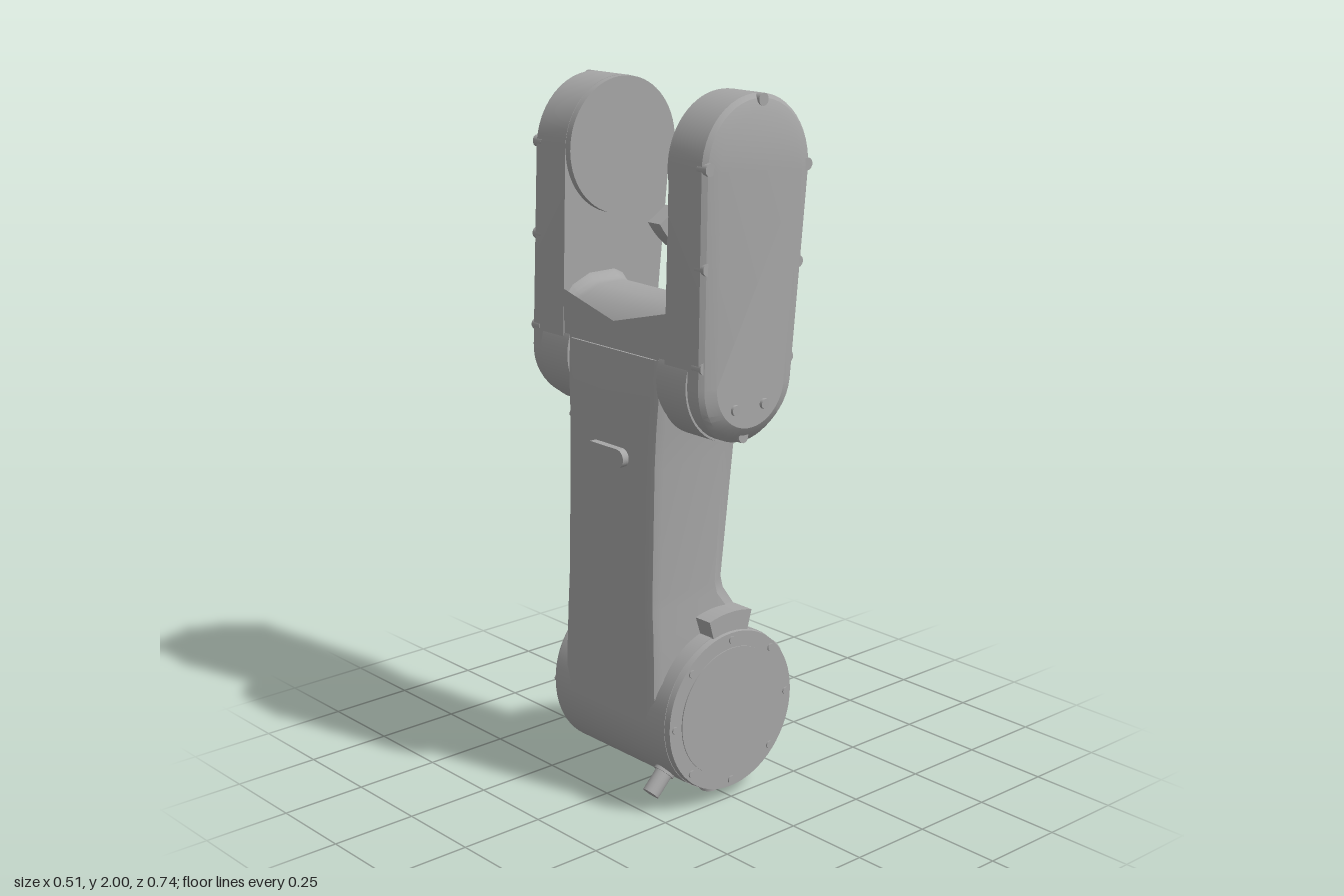
import * as THREE from 'three';
import { toCreasedNormals } from 'three/addons/utils/BufferGeometryUtils.js';

const V = (x, y, z) => new THREE.Vector3(x, y, z);

// Closed solid through rings of equal point count; faces always end up outward.
function loft(rings, crease = 0.5) {
  const tris = [];
  const n = rings[0].length;
  for (let i = 0; i < rings.length - 1; i++) {
    for (let j = 0; j < n; j++) {
      const k = (j + 1) % n;
      const [a, b, c, d] = [rings[i][j], rings[i][k], rings[i + 1][k], rings[i + 1][j]];
      tris.push([a, b, c], [a, c, d]);
    }
  }
  const last = rings[rings.length - 1];
  for (let j = 1; j < n - 1; j++) {
    tris.push([rings[0][0], rings[0][j + 1], rings[0][j]], [last[0], last[j], last[j + 1]]);
  }
  const o = rings[0][0];
  let volume = 0;
  for (const [a, b, c] of tris) {
    volume += a.clone().sub(o).dot(b.clone().sub(o).cross(c.clone().sub(o)));
  }
  const pts = tris.flatMap(([a, b, c]) => (volume < 0 ? [a, c, b] : [a, b, c]));
  return toCreasedNormals(new THREE.BufferGeometry().setFromPoints(pts), crease);
}

// Outline of two joined circles of different size, shrunk by an inset.
const TOP = { x: -0.01, y: 1.808, r: 0.19 };
const LOW = { x: -0.05, y: 1.247, r: 0.167 };
function capsuleRing(inset, z) {
  const ring = [];
  const axis = Math.atan2(TOP.y - LOW.y, TOP.x - LOW.x);
  const tilt = Math.asin((TOP.r - LOW.r) / Math.hypot(TOP.x - LOW.x, TOP.y - LOW.y));
  const arc = (c, from, to) => {
    for (let i = 0; i <= 24; i++) {
      const a = from + ((to - from) * i) / 24;
      const y = c.y + (c.r - inset) * Math.sin(a);
      ring.push(V(c.x + (c.r - inset) * Math.cos(a), y, z(y)));
    }
  };
  const h = Math.PI / 2 + tilt;
  arc(TOP, axis - h, axis + h);
  arc(LOW, axis + h, axis - h + 2 * Math.PI);
  return ring;
}

export function createModel() {
  const model = new THREE.Group();
  const grey = new THREE.MeshStandardMaterial({ color: 0xa6a6a6 });
  grey.name = 'grey';

  const add = (name, geometry, parent = model) => {
    const mesh = new THREE.Mesh(geometry, grey);
    mesh.name = name;
    parent.add(mesh);
    return mesh;
  };
  // Cylinder between two points
  const rod = (name, a, b, r, r2 = r, sides = 20, parent = model) => {
    const d = b.clone().sub(a);
    const mesh = add(name, new THREE.CylinderGeometry(r2, r, d.length(), sides), parent);
    mesh.position.copy(a).add(b).multiplyScalar(0.5);
    mesh.quaternion.setFromUnitVectors(V(0, 1, 0), d.normalize());
    return mesh;
  };
  // Arc-shaped block around a point, extruded along z
  const sector = (name, cx, cy, r1, r2, deg1, deg2, z1, z2) => {
    const a = THREE.MathUtils.degToRad(deg1), b = THREE.MathUtils.degToRad(deg2);
    const s = new THREE.Shape();
    s.absarc(cx, cy, r2, a, b, false);
    s.absarc(cx, cy, r1, b, a, true);
    const g = new THREE.ExtrudeGeometry(s, { depth: z2 - z1, bevelEnabled: false, curveSegments: 12 });
    return add(name, g.translate(0, 0, z1));
  };

  // Joint drum at the base
  const cx = -0.01, cy = 0.273, R = 0.235;
  rod('jointDrum', V(cx, cy, -0.232), V(cx, cy, 0.24), R, R, 64);
  for (const [s, z, r] of [[1, 0.24, 0.235], [-1, -0.232, 0.225]]) {
    const cover = new THREE.Group();
    cover.name = s > 0 ? 'frontDrumCover' : 'backDrumCover';
    model.add(cover);
    rod('coverRim', V(cx, cy, z - s * 0.01), V(cx, cy, z + s * 0.018), r, r - 0.004, 64, cover);
    rod('coverLid', V(cx, cy, z), V(cx, cy, z + s * 0.021), 0.187, 0.187, 64, cover);
    for (let i = 0; i < 8; i++) {
      const a = (i * Math.PI) / 4;
      const x = cx + Math.cos(a) * 0.211, y = cy + Math.sin(a) * 0.211;
      rod('coverBolt', V(x, y, z), V(x, y, z + s * 0.022), 0.011, 0.011, 12, cover);
    }
  }

  // Stop block and plugs around the drum
  sector('stopBlock', cx + 0.005, cy, 0.22, 0.288, 74, 106, 0.175, 0.248);
  for (const [deg, reach, r] of [[20, 0.272, 0.029], [225, 0.31, 0.025], [270, 0.27, 0.026]]) {
    const a = THREE.MathUtils.degToRad(deg);
    const at = (d) => V(cx + Math.cos(a) * d, cy + Math.sin(a) * d, 0.165);
    rod('plug', at(0.2), at(reach), r);
    rod('plugCollar', at(0.2), at(0.242), r + 0.006);
  }
  const rib = add('drumRib', new THREE.BoxGeometry(0.02, 0.012, 0.14));
  rib.position.set(cx + 0.228, cy + 0.062, 0.095);
  rib.rotation.z = 0.27;

  // Arm column: bevelled sections [y, left x, right x, half depth, right bevel]
  const sections = [
    [0.27, -0.245, 0.2, 0.2, 0.04], [0.39, -0.243, 0.195, 0.198, 0.045],
    [0.52, -0.241, 0.112, 0.193, 0.055], [0.6, -0.24, 0.058, 0.188, 0.06],
    [0.635, -0.239, 0.05, 0.187, 0.06], [1.0, -0.23, 0.094, 0.187, 0.075],
    [1.1, -0.227, 0.106, 0.19, 0.075], [1.24, -0.222, 0.119, 0.2, 0.05],
    [1.3, -0.218, 0.08, 0.2, 0.04],
  ];
  add('armColumn', loft(sections.map(([y, l, r, d, b]) => [
    [l, -d + 0.035], [l + 0.008, -d + 0.01], [l + 0.03, -d], [r - b, -d], [r - 0.012, -d + 0.028],
    [r, -d + 0.055], [r, d - 0.055], [r - 0.012, d - 0.028], [r - b, d], [l + 0.03, d],
    [l + 0.008, d - 0.01], [l, d - 0.035],
  ].map(([x, z]) => V(x, y, z))), 0.45));

  // Saddle between the fork arms: filleted trough that falls away to both sides
  const half = [[0, 1.436], [0.165, 1.438]];
  for (let i = 1; i <= 6; i++) {
    const a = (i / 6) * (Math.PI / 2);
    half.push([0.165 + 0.055 * Math.sin(a), 1.493 - 0.055 * Math.cos(a)]);
  }
  const drops = [[-0.212, 0.06], [-0.18, 0.025], [-0.12, 0], [-0.03, 0], [0, 0.015], [0.025, 0.05], [0.114, 0.215]];
  const slices = drops.map(([x, drop]) => {
    const side = (s) => half.map(([z, y]) => V(x, y - drop, z * s));
    return [...side(1), V(x, 1.19, 0.22), V(x, 1.19, -0.22), ...side(-1).reverse().slice(0, -1)];
  });
  // A concave section: its end caps fan out from the middle of the trough
  add('saddle', loft(slices));

  // Fork arms, mirrored front and back
  const bolts = [[0, 1.982], [-0.184, 1.82], [0.163, 1.8], [-0.191, 1.565], [0.134, 1.545],
    [-0.2, 1.307], [0.103, 1.29], [-0.06, 1.098]];
  for (const s of [1, -1]) {
    const fork = new THREE.Group();
    fork.name = s > 0 ? 'frontForkArm' : 'backForkArm';
    model.add(fork);
    // Outer face leans in slightly toward the top, with a deeper bevel at the bottom
    const outer = (z, low) => (y) => s * (z - 0.012 * THREE.MathUtils.smoothstep(y, 1.5, 2)
      - low * (1 - THREE.MathUtils.smoothstep(y, 1.08, 1.22)));
    add('armHousing', loft([
      capsuleRing(0, () => s * 0.21),
      capsuleRing(0, outer(0.342, 0.012)),
      capsuleRing(0.012, outer(0.353, 0.01)),
      capsuleRing(0.045, outer(0.365, 0)),
    ], 0.35), fork);
    rod('lowerSocket', V(LOW.x, LOW.y, s * 0.185), V(LOW.x, LOW.y, s * 0.3), 0.173, 0.173, 48, fork);
    const inner = s > 0 ? 0.204 : 0.19;
    rod('wristDisc', V(TOP.x, TOP.y, s * inner), V(TOP.x, TOP.y, s * 0.24), 0.189, 0.189, 64, fork);
    for (const [x, y] of bolts) {
      rod('edgeBolt', V(x, y, s * 0.315), V(x, y, s * 0.35), 0.017, 0.017, 14, fork);
    }
    for (const x of [-0.107, -0.002]) {
      rod('faceBolt', V(x, 1.183, s * 0.35), V(x, 1.183, s * 0.372), 0.016, 0.014, 14, fork);
    }
  }

  // Curved cable clamp below the front wrist disc
  sector('clampBridge', TOP.x, TOP.y, 0.195, 0.25, 215, 278, 0.172, 0.212);
  sector('clampEnd', TOP.x, TOP.y, 0.19, 0.262, 212, 232, 0.165, 0.212);
  sector('clampEnd', TOP.x, TOP.y, 0.19, 0.285, 268, 279, 0.165, 0.212);
  rod('clampScrew', V(-0.095, 1.605, 0.163), V(-0.095, 1.605, 0.2), 0.013);

  // Oblong plate on the side of the column
  const oblong = new THREE.Shape();
  oblong.absarc(0.054, 0, 0.026, -Math.PI / 2, Math.PI / 2, false);
  oblong.absarc(-0.054, 0, 0.026, Math.PI / 2, Math.PI * 1.5, false);
  const plate = add('sidePlate', new THREE.ExtrudeGeometry(oblong, { depth: 0.03, bevelEnabled: false }));
  plate.rotation.y = -Math.PI / 2;
  plate.position.set(-0.22, 1.01, 0);

  // Cable fittings under the back fork arm
  for (const x of [0.06, -0.17]) {
    rod('fittingNut', V(x, 1.06, -0.16), V(x, 1.045, -0.197), 0.026, 0.026, 6);
    rod('fitting', V(x, 1.06, -0.16), V(x + Math.sign(x) * 0.01, 1.075, -0.215), 0.016);
  }
  return model;
}
